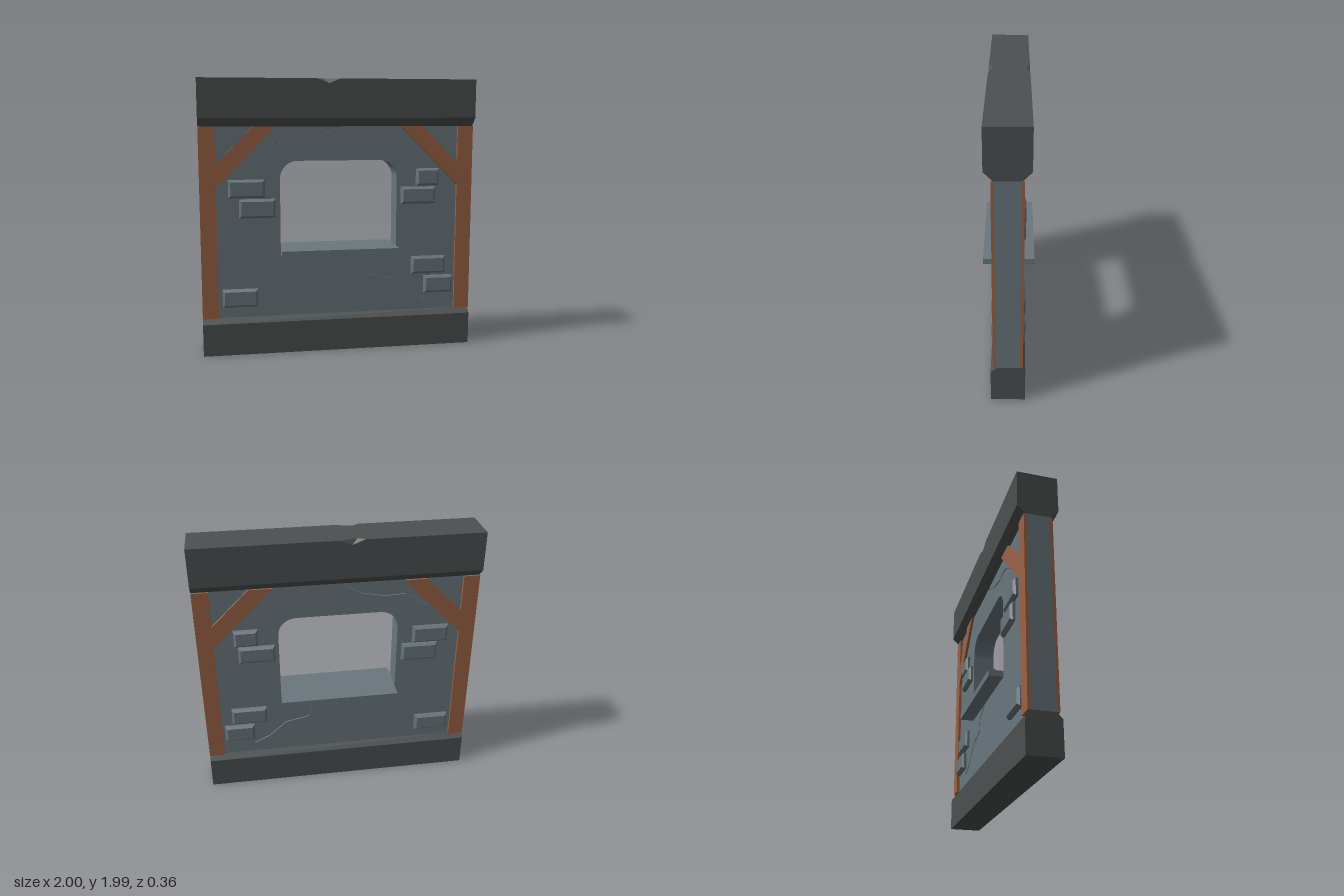
import * as THREE from 'three';

const mat = (name, color) => {
  const m = new THREE.MeshStandardMaterial({ color });
  m.name = name;
  return m;
};
const stone = mat('blue grey stone', 0x6a777e);
const darkStone = mat('dark stone', 0x4c5050);
const wood = mat('brown wood', 0x9a6345);

const V = (pts) => pts.map(([x, y]) => new THREE.Vector2(x, y));
const poly = (pts) => new THREE.Shape(V(pts));

function extrude(shape, z0, z1) {
  const g = new THREE.ExtrudeGeometry(shape, { depth: z1 - z0, bevelEnabled: false, curveSegments: 8 });
  return g.translate(0, 0, z0);
}

// Rectangular wall outline with the round-cornered window cut out
function wallShape() {
  const s = poly([[-1, 0.275], [1, 0.275], [1, 1.655], [-1, 1.655]]);
  const h = new THREE.Path();
  const w = 0.43, top = 1.41, r = 0.13;
  h.moveTo(-w, 0.74);
  h.lineTo(-w, top - r);
  h.absarc(-w + r, top - r, r, Math.PI, Math.PI / 2, true);
  h.lineTo(w - r, top);
  h.absarc(w - r, top - r, r, Math.PI / 2, 0, true);
  h.lineTo(w, 0.74);
  h.closePath();
  s.holes.push(h);
  return s;
}

// Narrow strip along a line, used as a groove
function crack(pts, half = 0.006) {
  const up = [], down = [];
  pts.forEach(([x, y], i) => {
    const a = pts[Math.max(i - 1, 0)], b = pts[Math.min(i + 1, pts.length - 1)];
    const dx = b[0] - a[0], dy = b[1] - a[1], l = Math.hypot(dx, dy);
    up.push([x - dy / l * half, y + dx / l * half]);
    down.unshift([x + dy / l * half, y - dx / l * half]);
  });
  return new THREE.Path(V([...up, ...down]));
}

// Top beam: chamfered below, with a chip in each upper long edge
function beamGeometry() {
  const y0 = 1.655, y1 = 1.715, y2 = 1.99, z = 0.144, zi = 0.085;
  const A = [-0.17, y2, z], B = [-0.08, 1.955, z], C = [-0.12, y2, 0.115], D = [0, y2, z];
  const end = (x) => [[x, y0, 0], [x, y2, 0], [x, y2, z], [x, y1, z], [x, y0, zi]];
  const faces = [
    [B, A, [-1, y2, z], [-1, y1, z], [1, y1, z], [1, y2, z], D],
    [C, D, [1, y2, z], [1, y2, 0], [-1, y2, 0], [-1, y2, z], A],
    [A, B, C], [B, D, C],
    [[-1, y0, zi], [1, y0, zi], [1, y1, z], [-1, y1, z]],
    [[-1, y0, 0], [1, y0, 0], [1, y0, zi], [-1, y0, zi]],
    end(1), end(-1).reverse(),
  ];
  const pos = [];
  for (const side of [1, -1]) {
    for (const f of faces) {
      for (let i = 1; i < f.length - 1; i++) {
        const tri = side > 0 ? [f[0], f[i], f[i + 1]] : [f[0], f[i + 1], f[i]];
        tri.forEach((p) => pos.push(p[0], p[1], p[2] * side));
      }
    }
  }
  const g = new THREE.BufferGeometry();
  g.setAttribute('position', new THREE.Float32BufferAttribute(pos, 3));
  g.computeVertexNormals();
  return g;
}

export function createModel() {
  const group = new THREE.Group();
  group.name = 'wallWithWindow';
  const add = (name, geo, material) => {
    const m = new THREE.Mesh(geo, material);
    m.name = name;
    group.add(m);
    return m;
  };

  // Wall core and two outer skins carrying the grooved cracks
  const core = 0.07, skin = 0.08;
  add('wallCore', extrude(wallShape(), -core, core), stone);
  const face = wallShape();
  face.holes.push(
    crack([[-0.635, 1.455], [-0.475, 1.548], [-0.33, 1.54], [-0.165, 1.573], [-0.03, 1.648]]),
    crack([[0.085, 0.718], [0.205, 0.668], [0.23, 0.563], [0.405, 0.525], [0.535, 0.41], [0.65, 0.355]]),
  );
  add('wallFront', extrude(face, core, skin), stone);
  add('wallBack', extrude(face, -skin, -core), stone);

  // Window sill running through the wall
  add('windowSill', new THREE.BoxGeometry(0.86, 0.045, 0.364).translate(0, 0.7475, 0), stone);

  // Bevelled bricks, showing on both sides: x0, x1, y0, y1
  const bricks = [
    [-0.8, -0.54, 1.15, 1.28], [-0.725, -0.465, 1.005, 1.14], [-0.855, -0.6, 0.355, 0.485],
    [0.575, 0.745, 1.22, 1.345], [0.46, 0.72, 1.085, 1.21],
    [0.545, 0.805, 0.555, 0.685], [0.645, 0.865, 0.405, 0.535],
  ];
  const b = 0.016, out = 0.115;
  for (const [x0, x1, y0, y1] of bricks) {
    const s = poly([[x0 + b, y0 + b], [x1 - b, y0 + b], [x1 - b, y1 - b], [x0 + b, y1 - b]]);
    const g = new THREE.ExtrudeGeometry(s, {
      depth: 2 * (out - b), bevelSize: b, bevelThickness: b, bevelSegments: 1,
    });
    add('brick', g.translate(0, 0, -(out - b)), stone);
  }

  // Timber posts with diagonal braces at the four face corners
  const timber = [[1, 0.275], [1, 1.655], [0.885, 1.655], [0.885, 1.39],
    [0.62, 1.655], [0.455, 1.655], [0.885, 1.225], [0.885, 0.275]];
  for (const sx of [1, -1]) {
    const s = poly(timber.map(([x, y]) => [x * sx, y]));
    const side = sx > 0 ? 'Left' : 'Right';
    add('front' + side + 'Post', extrude(s, skin, 0.1), wood);
    add('back' + side + 'Post', extrude(s, -0.1, -skin), wood);
  }

  // Stone base with chamfered upper edges
  const base = poly([[-0.116, 0], [0.116, 0], [0.116, 0.235], [0.078, 0.275], [-0.078, 0.275], [-0.116, 0.235]]);
  add('base', extrude(base, -1, 1).rotateY(Math.PI / 2), darkStone);

  add('topBeam', beamGeometry(), darkStone);
  return group;
}
